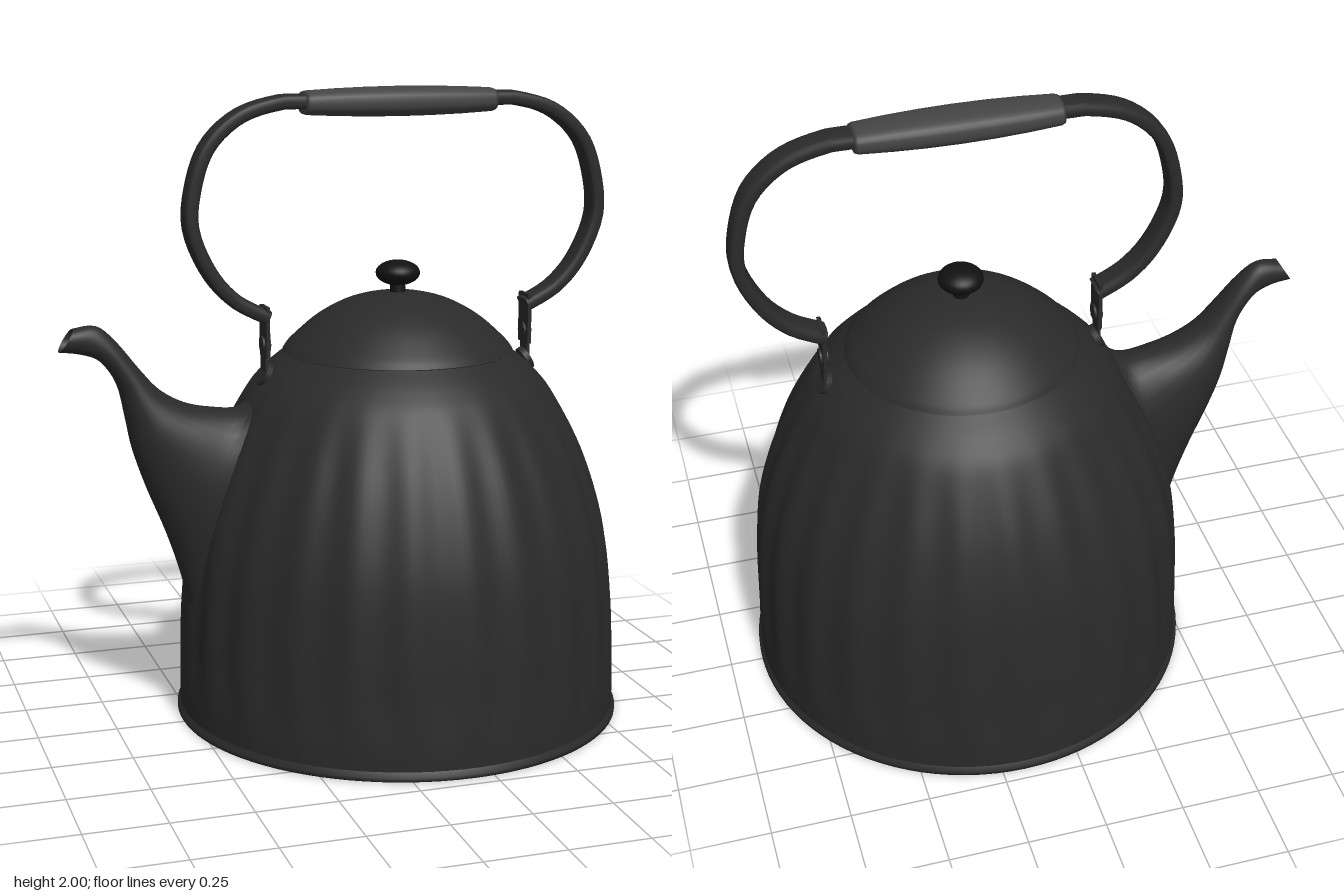
import * as THREE from 'three';

const CX = 0.18; // axis of the pot

const enamel = new THREE.MeshStandardMaterial({ color: 0x2a2a2a, side: THREE.DoubleSide });
const gripMat = new THREE.MeshStandardMaterial({ color: 0x444444 });
const knobMat = new THREE.MeshStandardMaterial({ color: 0x111111 });

const vec = (pts) => pts.map(([x, y]) => new THREE.Vector2(x, y));
const smooth = (pts, n) => new THREE.SplineCurve(vec(pts)).getPoints(n);

function add(parent, name, geometry, material, x = 0, y = 0, z = 0) {
  const mesh = new THREE.Mesh(geometry, material);
  mesh.name = name;
  mesh.position.set(x, y, z);
  parent.add(mesh);
  return mesh;
}

// Skin over oval rings; each ring is [ax, ay, bx, by, halfWidthZ], a and b being opposite points
function loft(rings, sides, power = 1) {
  const pos = [], index = [];
  const bulge = (v) => Math.sign(v) * Math.abs(v) ** power;
  rings.forEach(([ax, ay, bx, by, w], i) => {
    for (let j = 0; j < sides; j++) {
      const t = (j / sides) * Math.PI * 2;
      const c = bulge(Math.cos(t)) / 2, s = bulge(Math.sin(t));
      pos.push((ax + bx) / 2 + c * (bx - ax), (ay + by) / 2 + c * (by - ay), s * w);
      if (i === rings.length - 1) continue;
      const a = i * sides + j, b = i * sides + ((j + 1) % sides);
      index.push(a, b, a + sides, b, b + sides, a + sides);
    }
  });
  const g = new THREE.BufferGeometry();
  g.setAttribute('position', new THREE.Float32BufferAttribute(pos, 3));
  g.setIndex(index);
  g.computeVertexNormals();
  return g;
}

// Domed wall with shallow vertical flutes that fade out at foot and neck
function bodyGeometry() {
  const profile = smooth([[0.705, 0.03], [0.704, 0.2], [0.694, 0.4], [0.665, 0.62], [0.595, 0.84],
    [0.495, 1.03], [0.43, 1.11], [0.36, 1.17]], 40);
  const g = new THREE.LatheGeometry(profile, 192, -Math.PI / 2);
  const p = g.attributes.position;
  for (let i = 0; i < p.count; i++) {
    const x = p.getX(i), y = p.getY(i), z = p.getZ(i);
    const fade = THREE.MathUtils.smoothstep(y, 0.06, 0.25) * (1 - THREE.MathUtils.smoothstep(y, 0.85, 1.15));
    const k = 1 - 0.009 * fade * (1 - Math.cos(24 * Math.atan2(z, x)));
    p.setXYZ(i, x * k, y, z * k);
  }
  g.computeVertexNormals();
  return g;
}

// Spout sections from the open tip down into the body
function spoutGeometry() {
  const sections = [
    [-0.9, 1.22, -0.855, 1.29, 0.036], [-0.835, 1.21, -0.785, 1.295, 0.038],
    [-0.775, 1.185, -0.725, 1.245, 0.046], [-0.725, 1.11, -0.65, 1.15, 0.06],
    [-0.7, 1.0, -0.59, 1.085, 0.08], [-0.68, 0.9, -0.51, 1.04, 0.1],
    [-0.64, 0.78, -0.42, 1.02, 0.115], [-0.58, 0.63, -0.33, 1.02, 0.13],
    [-0.53, 0.47, -0.25, 1.09, 0.14], [-0.5, 0.3, -0.16, 1.08, 0.14]];
  const lower = new THREE.SplineCurve(vec(sections));
  const upper = new THREE.SplineCurve(vec(sections.map((s) => s.slice(2, 4))));
  const width = new THREE.SplineCurve(vec(sections.map((s) => [s[4], 0])));
  const rings = [];
  for (let i = 0; i <= 36; i++) {
    const a = lower.getPoint(i / 36), b = upper.getPoint(i / 36);
    rings.push([a.x, a.y, b.x, b.y, width.getPoint(i / 36).x]);
  }
  return loft(rings, 28);
}

// Flat strap bent in a wide arch, with closed ends
function handleGeometry() {
  const half = [[-0.43, 1.295], [-0.53, 1.35], [-0.61, 1.44], [-0.665, 1.57], [-0.66, 1.69],
    [-0.615, 1.82], [-0.52, 1.91], [-0.4, 1.95], [-0.28, 1.955]];
  const path = [...half, ...half.map(([x, y]) => [-x, y]).reverse()];
  const curve = new THREE.SplineCurve(vec(path.map(([x, y]) => [x + CX, y])));
  const rings = [];
  const N = 72, T = 0.023;
  for (let i = 0; i <= N; i++) {
    const p = curve.getPoint(i / N), d = curve.getTangent(i / N);
    const end = i === 0 || i === N;
    const ring = [p.x + d.y * T, p.y - d.x * T, p.x - d.y * T, p.y + d.x * T, 0.043];
    const cap = [p.x, p.y, p.x, p.y, 0];
    if (i === 0) rings.push(cap, ring);
    rings.push(ring);
    if (end && i === N) rings.push(ring, cap);
  }
  return loft(rings, 16, 0.55);
}

// Hanger joining one end of the handle to the shoulder
function hanger(side) {
  const g = new THREE.Group();
  g.name = side > 0 ? 'leftHanger' : 'rightHanger';
  add(g, 'hangerPlate', new THREE.BoxGeometry(0.012, 0.16, 0.08), enamel, 0, 1.25);
  add(g, 'hangerRivet', new THREE.CylinderGeometry(0.026, 0.026, 0.026, 16), enamel, 0, 1.21).rotation.z = Math.PI / 2;
  add(g, 'hangerLink', new THREE.BoxGeometry(0.01, 0.07, 0.055), enamel, 0.002, 1.155);
  const eye = add(g, 'hangerEye', new THREE.CylinderGeometry(0.04, 0.04, 0.018, 20), enamel, 0.003, 1.115);
  eye.rotation.z = Math.PI / 2 + 0.5;
  g.position.x = CX + side * 0.435;
  if (side < 0) g.rotation.y = Math.PI;
  return g;
}

export function createModel() {
  const kettle = new THREE.Group();
  kettle.name = 'kettle';

  // Pot
  add(kettle, 'body', bodyGeometry(), enamel, CX);
  add(kettle, 'baseRim', new THREE.LatheGeometry(
    vec([[0.7, 0], [0.715, 0.003], [0.715, 0.015], [0.704, 0.032]]), 96), enamel, CX);
  add(kettle, 'bottom', new THREE.CircleGeometry(0.71, 96), enamel, CX, 0.001).rotation.x = Math.PI / 2;
  add(kettle, 'spout', spoutGeometry(), enamel);

  // Lid and knob
  add(kettle, 'lid', new THREE.LatheGeometry(smooth([[0.365, 1.173], [0.34, 1.205], [0.26, 1.275],
    [0.17, 1.325], [0.08, 1.35], [0, 1.356]], 24), 72), enamel, CX);
  add(kettle, 'lidUnderside', new THREE.CircleGeometry(0.363, 72), enamel, CX, 1.172).rotation.x = Math.PI / 2;
  add(kettle, 'knobStem', new THREE.CylinderGeometry(0.022, 0.026, 0.06, 20), knobMat, CX, 1.37);
  add(kettle, 'knob', new THREE.SphereGeometry(1, 32, 20), knobMat, CX, 1.415).scale.set(0.07, 0.04, 0.07);

  // Handle with barrel grip
  add(kettle, 'handle', handleGeometry(), enamel);
  const stations = [-0.312, -0.31, -0.3, -0.2, -0.1, 0, 0.1, 0.2, 0.3, 0.31, 0.312];
  const grip = stations.map((x, i) => {
    const k = i === 0 || i === stations.length - 1 ? 0 : 1 - 2.2 * x * x - (Math.abs(x) > 0.305 ? 0.06 : 0);
    return [CX + x, 1.95 - 0.046 * k, CX + x, 1.95 + 0.046 * k, 0.074 * k];
  });
  add(kettle, 'grip', loft(grip, 32, 0.8), gripMat);
  for (const side of [-1, 1]) kettle.add(hanger(side));

  return kettle;
}
